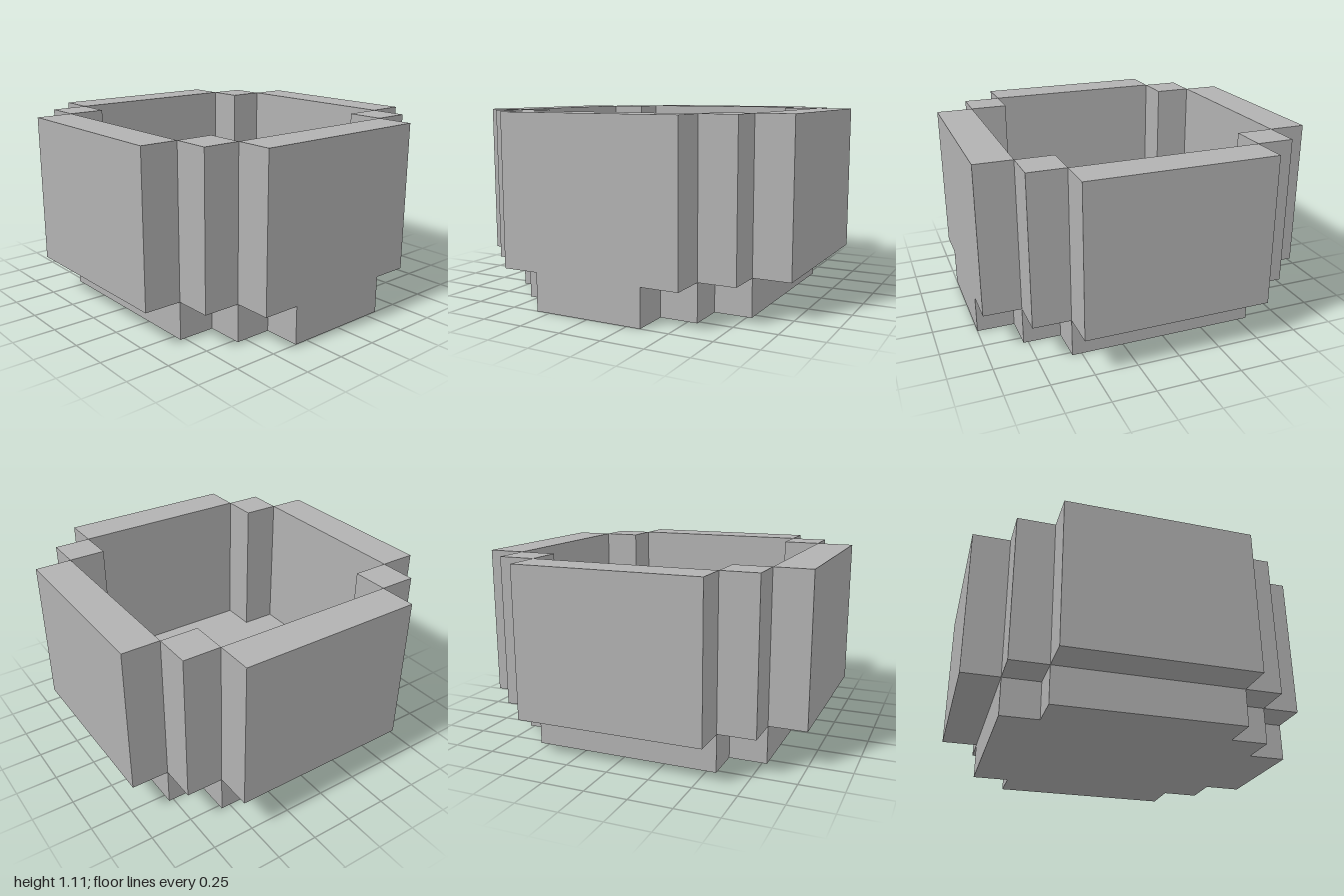
import * as THREE from 'three';

// The whole design sits on a grid of ninths of a unit.
const U = 1 / 9;

export function createModel() {
  const group = new THREE.Group();
  group.name = 'openBlockPot';
  const grey = new THREE.MeshStandardMaterial({ color: 0xb2b2b2 });
  grey.name = 'plainGrey';

  // Box given by its centre in plan and its bottom and top, in grid units
  function block(name, x, z, width, depth, bottom, top) {
    const geometry = new THREE.BoxGeometry(width * U, (top - bottom) * U, depth * U);
    const mesh = new THREE.Mesh(geometry, grey);
    mesh.name = name;
    mesh.position.set(x * U, ((bottom + top) / 2) * U, z * U);
    group.add(mesh);
  }

  // Cross-shaped base, with a foot reaching out under the left wall
  const outline = [
    [7, -5], [7, -3], [9, -3], [9, 3], [7, 3], [7, 5],
    [5, 5], [5, 7], [-5, 7], [-5, 5], [-7, 5],
    [-7, -5], [-5, -5], [-5, -7], [5, -7], [5, -5],
  ].map(([x, z]) => new THREE.Vector2(x * U, z * U));
  const baseGeometry = new THREE.ExtrudeGeometry(new THREE.Shape(outline), {
    depth: 2 * U,
    bevelEnabled: false,
  });
  baseGeometry.rotateX(-Math.PI / 2);
  const base = new THREE.Mesh(baseGeometry, grey);
  base.name = 'base';
  group.add(base);

  // Four walls and four corner posts, all starting level with the floor
  for (const s of [-1, 1]) {
    block(s > 0 ? 'leftWall' : 'rightWall', 8 * s, 0, 2, 10, 2, 10);
    block(s > 0 ? 'frontWall' : 'backWall', 0, 8 * s, 10, 2, 2, 10);
    for (const t of [-1, 1]) block('cornerPost', 6 * s, 6 * t, 2, 2, 2, 10);
  }

  return group;
}
